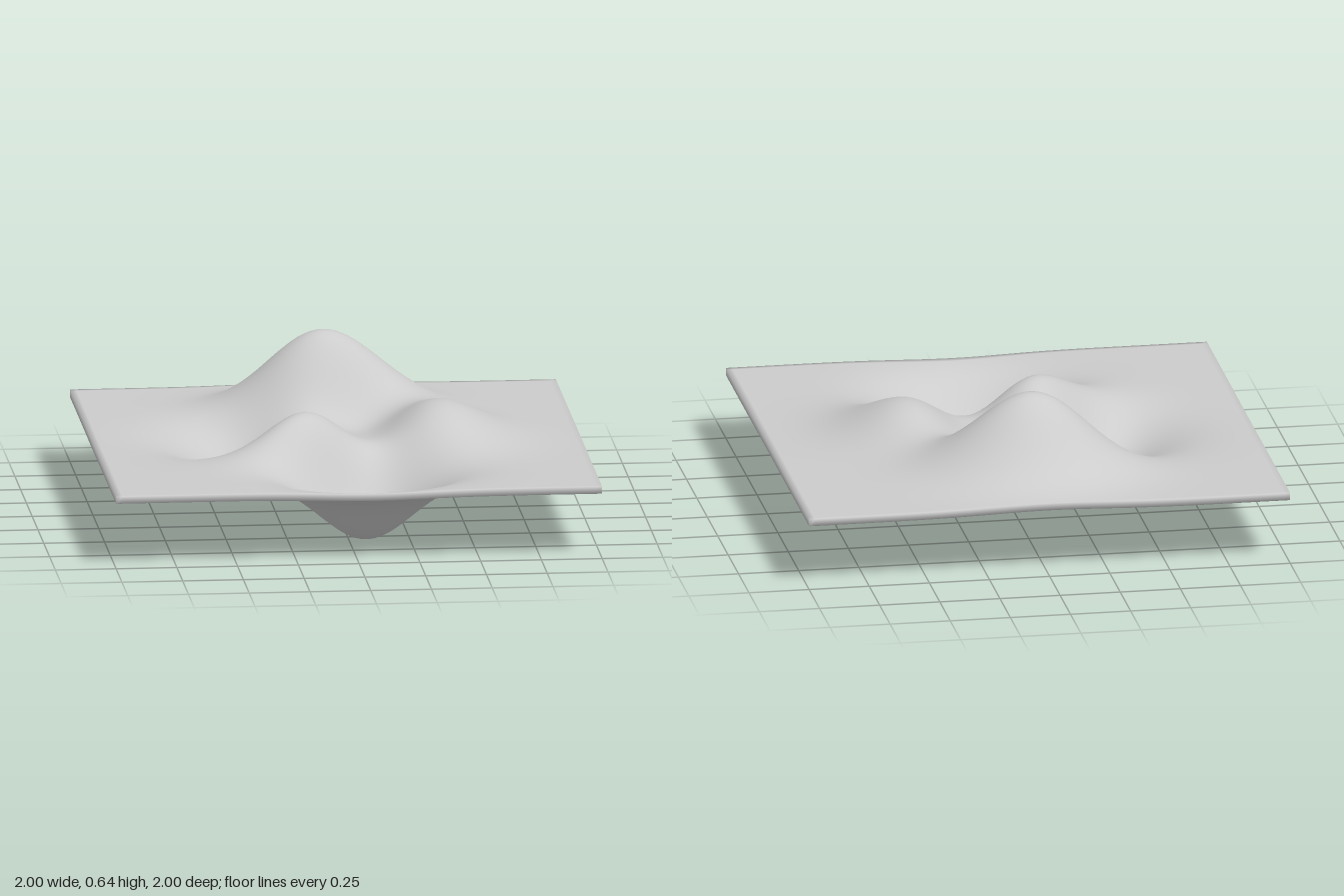
import * as THREE from 'three';
import { mergeVertices } from 'three/addons/utils/BufferGeometryUtils.js';

const THICKNESS = 0.03;
const SEGMENTS = 80;
const HEIGHT_SCALE = 1 / 24;
const MID_LEVEL = 6.551 * HEIGHT_SCALE + THICKNESS / 2; // lowest dip rests on y = 0

// Sum of Gaussian-weighted terms: three hills and two hollows on a flat sheet
function surfaceHeight(x, z) {
  const u = 3 * x;
  const v = -3 * z;
  const a = 3 * (1 - u) ** 2 * Math.exp(-u * u - (v + 1) ** 2);
  const b = 10 * (u / 5 - u ** 3 - v ** 5) * Math.exp(-u * u - v * v);
  const c = Math.exp(-((u + 1) ** 2) - v * v) / 3;
  return (a - b - c) * HEIGHT_SCALE;
}

export function createModel() {
  const group = new THREE.Group();
  group.name = 'wavySurface';

  // Thin slab displaced vertically
  let geometry = new THREE.BoxGeometry(2, THICKNESS, 2, SEGMENTS, 1, SEGMENTS);
  const p = geometry.attributes.position;
  for (let i = 0; i < p.count; i++) {
    p.setY(i, p.getY(i) + MID_LEVEL + surfaceHeight(p.getX(i), p.getZ(i)));
  }

  // Weld the faces so shading runs smoothly round the rim
  geometry.deleteAttribute('normal');
  geometry.deleteAttribute('uv');
  geometry.clearGroups();
  geometry = mergeVertices(geometry, 1e-5);
  geometry.computeVertexNormals();

  const sheet = new THREE.Mesh(geometry, new THREE.MeshStandardMaterial({ color: 0xcccccc }));
  sheet.name = 'curvedSheet';
  group.add(sheet);
  return group;
}
